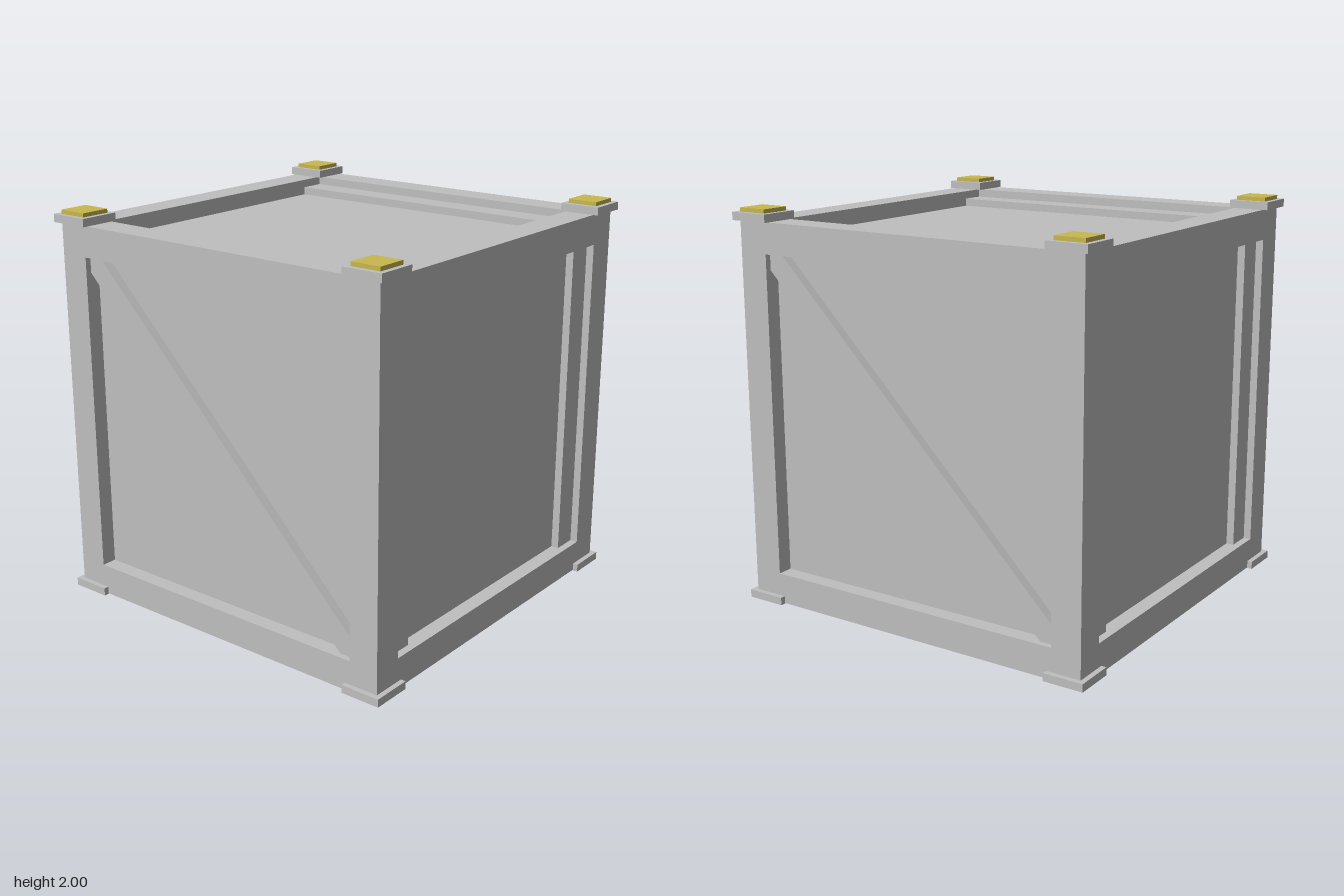
import * as THREE from 'three';

export function createModel() {
  const model = new THREE.Group();
  model.name = 'crate';
  const grey = new THREE.MeshStandardMaterial({ color: 0xbfbfbf });
  grey.name = 'light grey';
  const gold = new THREE.MeshStandardMaterial({ color: 0xc9b84f });
  gold.name = 'gold';

  const FRAME = 0.967;          // outer half size of the frame
  const BEAM = 0.155;           // beam thickness
  const INNER = FRAME - BEAM;   // inner half size of the frame
  const MID = FRAME - BEAM / 2; // beam centre line
  const CY = 0.97;              // height of the crate centre
  const PANEL = 0.888;          // half size of the recessed box
  const SLAT = 0.928;           // outer face of the slats

  const box = (name, w, h, d, x, y, z, material = grey) => {
    const mesh = new THREE.Mesh(new THREE.BoxGeometry(w, h, d), material);
    mesh.name = name;
    mesh.position.set(x, y, z);
    model.add(mesh);
    return mesh;
  };

  // Recessed walls, lid and floor
  box('panelBox', 2 * PANEL, 2 * PANEL, 2 * PANEL, 0, CY, 0);

  // Corner posts with feet, caps and gold pads
  for (const sx of [-1, 1]) {
    for (const sz of [-1, 1]) {
      const x = sx * MID, z = sz * MID;
      box('cornerPost', BEAM, 1.92, BEAM, x, 0.98, z);
      box('foot', 0.208, 0.04, 0.208, x, 0.02, z);
      box('postCap', 0.208, 0.04, 0.208, x, 1.96, z);
      box('capPad', BEAM, 0.02, BEAM, x, 1.99, z, gold);
    }
  }

  // Top and bottom rails
  for (const y of [BEAM / 2 + 0.003, 1.94 - BEAM / 2]) {
    for (const s of [-1, 1]) {
      box('crossRail', 2 * INNER, BEAM, BEAM, 0, y, s * MID);
      box('sideRail', BEAM, BEAM, 2 * INNER, s * MID, y, 0);
    }
  }

  // Slats beside the posts on the front, back and lid
  const slatW = INNER - 0.68, slatD = SLAT - PANEL;
  const slatX = (INNER + 0.68) / 2, slatAt = (SLAT + PANEL) / 2;
  for (const sx of [-1, 1]) {
    for (const sz of [-1, 1]) {
      box('wallSlat', slatW, 2 * INNER, slatD, sx * slatX, CY, sz * slatAt);
    }
    box('lidSlat', slatW, slatD, 2 * INNER, sx * slatX, CY + slatAt, 0);
  }

  // Diagonal braces, clipped to the side openings
  const e = INNER, k = INNER - 0.078;
  const outline = new THREE.Shape([
    [-e, e], [-e, k], [k, -e], [e, -e], [e, -k], [-k, e],
  ].map(([x, y]) => new THREE.Vector2(x, y)));
  const braceGeometry = new THREE.ExtrudeGeometry(outline, {
    depth: 0.937 - PANEL, bevelEnabled: false,
  });
  braceGeometry.translate(0, 0, PANEL);
  for (const s of [-1, 1]) {
    const brace = new THREE.Mesh(braceGeometry, grey);
    brace.name = s > 0 ? 'leftBrace' : 'rightBrace';
    brace.position.y = CY;
    brace.rotation.y = s * Math.PI / 2;
    model.add(brace);
  }

  return model;
}
